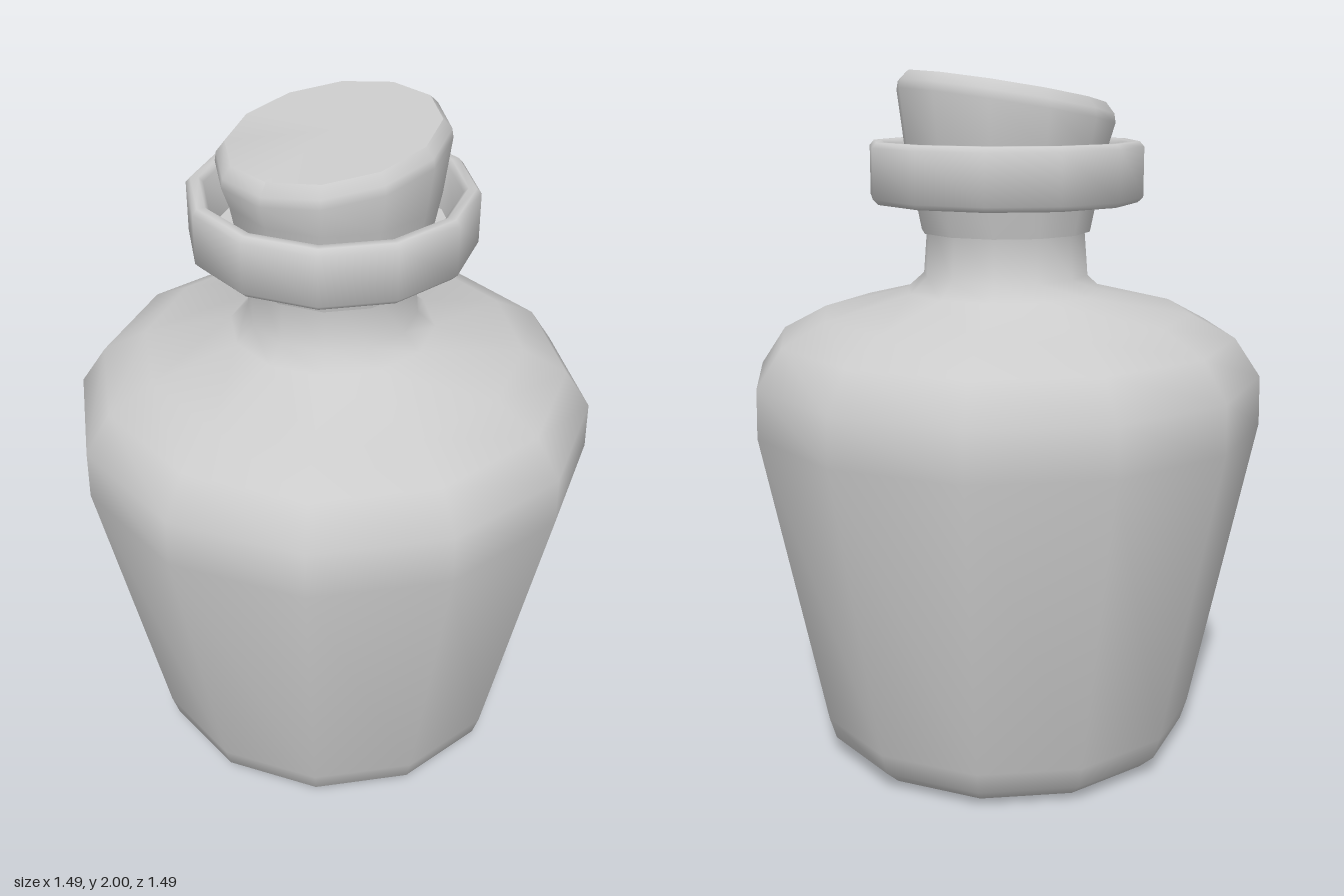
import * as THREE from 'three';
import { toCreasedNormals } from 'three/addons/utils/BufferGeometryUtils.js';

const SIDES = 12;

export function createModel() {
  const group = new THREE.Group();
  const material = new THREE.MeshStandardMaterial({ color: 0xcccccc });

  // Twelve-sided turned part; profile is [radius, height], running up the outside
  function turned(name, profile, crease, bend) {
    const geometry = new THREE.LatheGeometry(profile.map(([r, y]) => new THREE.Vector2(r, y)), SIDES);
    if (bend) bend(geometry.attributes.position);
    const mesh = new THREE.Mesh(toCreasedNormals(geometry, crease), material);
    mesh.name = name;
    group.add(mesh);
  }

  // Tapered body, rounded shoulder, neck, and the hollow mouth
  turned('bottleBody', [
    [0, 0], [0.42, 0], [0.5, 0.014], [0.545, 0.055], [0.565, 0.12],
    [0.745, 1.0], [0.742, 1.14], [0.668, 1.25], [0.54, 1.318],
    [0.29, 1.38], [0.24, 1.425], [0.226, 1.6], [0.235, 1.618], [0.285, 1.64],
    [0.28, 1.66], [0.21, 1.6], [0.2, 1.5], [0, 1.5],
  ], 1.0);

  // Thick lip ring with small bevels
  turned('lipRing', [
    [0.27, 1.635], [0.38, 1.635], [0.395, 1.65], [0.395, 1.79], [0.382, 1.805],
    [0.36, 1.805], [0.347, 1.792], [0.335, 1.66], [0.27, 1.65], [0.27, 1.635],
  ], 0.9);

  // Tapered stopper whose top is cut at a slant, higher on the +x side
  turned('stopper', [
    [0, 1.55], [0.245, 1.55], [0.293, 1.79], [0.313, 1.9],
    [0.309, 1.925], [0.285, 1.953], [0, 1.953],
  ], 0.8, (p) => {
    for (let i = 0; i < p.count; i++) {
      if (p.getY(i) > 1.8) p.setY(i, p.getY(i) + 0.165 * p.getX(i));
    }
  });

  return group;
}
